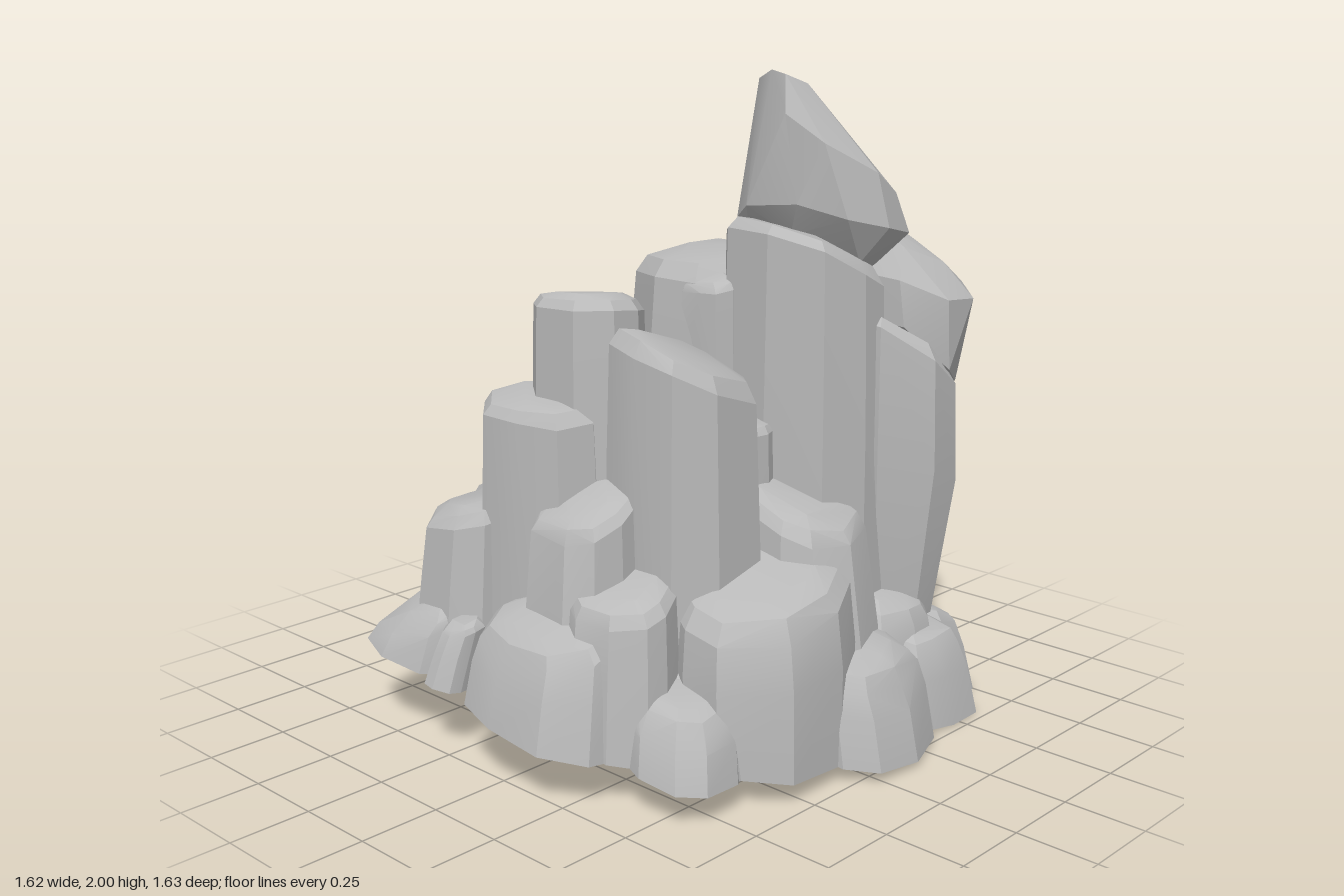
import * as THREE from 'three';
import { ConvexGeometry } from 'three/addons/geometries/ConvexGeometry.js';
import { toCreasedNormals } from 'three/addons/utils/BufferGeometryUtils.js';

const stone = new THREE.MeshStandardMaterial({ color: 0xbababa });
stone.name = 'grey stone';

// Small seeded generator for uneven edges
let seed = 7;
const rand = () => (seed = (seed * 16807) % 2147483647) / 2147483647;
const jitter = (a) => (rand() - 0.5) * 2 * a;

// The underside is one gently tilted plane
const ground = (x, z) => 0.123 - 0.075 * x - 0.117 * z;

function stoneMesh(name, points) {
  const mesh = new THREE.Mesh(toCreasedNormals(new ConvexGeometry(points), 0.36), stone);
  mesh.name = name;
  return mesh;
}

// A block with rounded-square cross-sections, a bevelled shoulder and a sloped top.
// It never reaches below the ground plane; lean moves the top towards the middle.
function rock(name, [x, z, rx, rz, y0, y1, sx = 0, sz = 0, foot = 0.98, lean = 0]) {
  const points = [], n = 9, turn = rand() * 6;
  const bevel = 0.32 * Math.min(rx, rz);
  const ring = Array.from({ length: n }, (_, i) => {
    const a = turn + ((i + jitter(0.2)) / n) * Math.PI * 2;
    const c = Math.cos(a), s = Math.sin(a);
    const r = (1.03 + jitter(0.03)) / Math.pow(Math.abs(c) ** 3 + Math.abs(s) ** 3, 1 / 3);
    return [c * r * rx, s * r * rz];
  });
  const levels = [[0, foot, 0], [0.55, 1, 0], [1, 0.95, bevel], [1, 0.82, bevel * 0.3], [1, 0.58, 0]];
  for (const [t, scale, drop] of levels) {
    for (const [dx, dz] of ring) {
      const px = x + dx * scale - x * lean * t, pz = z + dz * scale - z * lean * t;
      const low = Math.max(y0, ground(px, pz));
      const high = Math.max(low + 0.03, y1 + sx * dx * scale + sz * dz * scale - drop + jitter(t * 0.008));
      points.push(new THREE.Vector3(px, low + (high - low) * t, pz));
    }
  }
  return stoneMesh(name, points);
}

// x, z, half width, half depth, bottom, top, slope x, slope z, foot scale, lean
const columns = [
  [0.27, 0.24, 0.18, 0.25, 0.3, 1.5, -0.45, -0.1, 1.02],
  [0.525, 0.36, 0.21, 0.25, 0.3, 1.17, -0.8, 0, 0.74],
  [0.3, -0.12, 0.26, 0.23, 0.9, 1.43, 0, 0, 1.06],
  [0.32, -0.16, 0.32, 0.29, 0.2, 1.1, 0, 0, 1.02],
  [-0.235, 0.23, 0.2, 0.2, 0.3, 1.23, -0.35, -0.25, 1.08],
  [-0.325, -0.07, 0.14, 0.17, 0.6, 1.37, -0.1, 0.05, 1.05],
  [-0.43, -0.16, 0.15, 0.22, 0.3, 1.07, 0.1, 0, 1.08],
  [-0.12, -0.26, 0.19, 0.17, 0.3, 1.09, 0, 0.1, 1.08],
];
const crackStones = [
  [0.1, 0.02, 0.06, 0.1, 0.7, 1.37, 0.3],
  [0.0, 0.02, 0.09, 0.13, 0.6, 1.11, -0.6],
  [0.05, 0.2, 0.08, 0.11, 0.5, 0.97],
  [0.06, -0.39, 0.09, 0.08, 0.4, 0.85],
  [0.06, -0.26, 0.05, 0.07, 0.7, 1.15],
];
const middleRocks = [
  [-0.18, 0.47, 0.27, 0.24, 0, 0.6, 0.18, -0.15, 0.98],
  [0.1, 0.4, 0.18, 0.21, 0, 0.76, -0.05, -0.3, 1.3],
  [-0.53, 0.25, 0.14, 0.17, 0, 0.6, 0.3, -0.1, 1.05],
  [-0.51, 0.08, 0.13, 0.16, 0, 0.81, 0.5, 0, 1.15],
  [-0.5, -0.4, 0.17, 0.18, 0, 0.72, 0.1, 0.2, 1.08],
  [-0.19, -0.52, 0.2, 0.16, 0, 0.73, 0, 0.4, 1.15],
  [0.26, -0.4, 0.25, 0.15, 0, 0.74, 0, 0.2, 1.08],
  [0.51, -0.07, 0.18, 0.2, 0, 0.64, -0.05, 0, 1.03],
  [0.46, -0.34, 0.15, 0.15, 0, 0.7, -0.15, 0.1, 1.15],
  [0.42, 0.46, 0.17, 0.17, 0, 0.42, 0, -0.3, 1.0],
  [0.6, 0.24, 0.16, 0.16, 0, 0.57, -0.5, 0, 1.1],
];
const baseRocks = [
  [0.12, 0.62, 0.21, 0.18, 0, 0.34, 0, -0.2],
  [0.49, 0.57, 0.15, 0.15, 0, 0.3, 0, -0.1],
  [0.68, 0.43, 0.12, 0.17, 0, 0.29, -0.3, 0],
  [0.69, 0.18, 0.11, 0.16, 0, 0.34, -0.5, 0],
  [0.69, -0.04, 0.11, 0.14, 0, 0.31, -0.3, 0],
  [0.6, -0.33, 0.16, 0.16, 0, 0.38, -0.25, 0.1],
  [0.3, -0.57, 0.18, 0.15, 0, 0.48, 0, 0.4],
  [-0.11, -0.63, 0.24, 0.165, 0, 0.47, 0, 0.6],
  [-0.56, -0.5, 0.2, 0.2, 0, 0.45, 0.3, 0.3],
  [-0.72, -0.28, 0.06, 0.06, 0, 0.4, 0.2, 0],
  [-0.67, 0.08, 0.13, 0.24, 0, 0.48, 0.45, 0],
  [-0.5, 0.48, 0.14, 0.14, 0, 0.32, 0.1, -0.2],
];

// Slanted crown of the tallest column, as outlines from bottom to top
const crown = [
  [0.17, 1.52, 0.28], [0.3, 1.44, 0.44], [0.42, 1.38, 0.36], [0.46, 1.38, 0.12], [0.3, 1.42, 0.02],
  [0.125, 1.62, 0.34], [0.13, 1.6, 0.14], [0.2, 1.58, 0.47], [0.32, 1.55, 0.53], [0.46, 1.52, 0.5],
  [0.55, 1.57, 0.32], [0.53, 1.56, 0.12], [0.42, 1.52, -0.02], [0.27, 1.54, -0.02],
  [0.115, 1.88, 0.3], [0.15, 1.8, 0.42], [0.3, 1.71, 0.5], [0.43, 1.64, 0.47], [0.53, 1.67, 0.28],
  [0.46, 1.76, 0.1], [0.29, 1.92, 0.045], [0.36, 1.75, 0.01],
  [0.15, 1.99, 0.27], [0.17, 2.0, 0.2], [0.23, 1.97, 0.1], [0.24, 1.96, 0.28],
];

// Slanted block resting on the right-hand column
const shoulder = [
  [0.4, 1.26, 0.24], [0.42, 1.24, 0.52], [0.55, 1.1, 0.6], [0.7, 1.03, 0.52], [0.735, 1.01, 0.34],
  [0.7, 1.03, 0.2], [0.52, 1.15, 0.13],
  [0.4, 1.4, 0.28], [0.42, 1.38, 0.5], [0.52, 1.32, 0.61], [0.65, 1.31, 0.61], [0.745, 1.34, 0.5],
  [0.755, 1.38, 0.32], [0.7, 1.44, 0.17], [0.54, 1.5, 0.14],
  [0.48, 1.47, 0.47], [0.6, 1.42, 0.53], [0.69, 1.46, 0.36], [0.66, 1.51, 0.24],
  [0.55, 1.57, 0.22], [0.5, 1.55, 0.33], [0.58, 1.55, 0.3],
];

export function createModel() {
  seed = 7;
  const group = new THREE.Group();
  group.name = 'rockFormation';
  // Solid heart filling the gaps between the blocks
  group.add(rock('lowerCore', [0, 0, 0.63, 0.62, 0, 0.42, 0, 0, 1.03]));
  group.add(rock('upperCore', [0, -0.04, 0.42, 0.36, 0.3, 0.82]));
  const add = (name, rows, lean) => rows.forEach((row, i) => {
    const [x, z, rx, rz, y0, y1, sx, sz, foot = lean ? 1.04 : 0.98] = row;
    group.add(rock(name + (i + 1), [x, z, rx, rz, y0, y1, sx, sz, foot, lean]));
  });
  add('column', columns, 0);
  add('crackStone', crackStones, 0);
  add('middleRock', middleRocks, 0.04);
  add('baseRock', baseRocks, 0.07);
  group.add(stoneMesh('crown', crown.map((p) => new THREE.Vector3(...p))));
  group.add(stoneMesh('shoulderBlock', shoulder.map((p) => new THREE.Vector3(...p))));
  return group;
}
